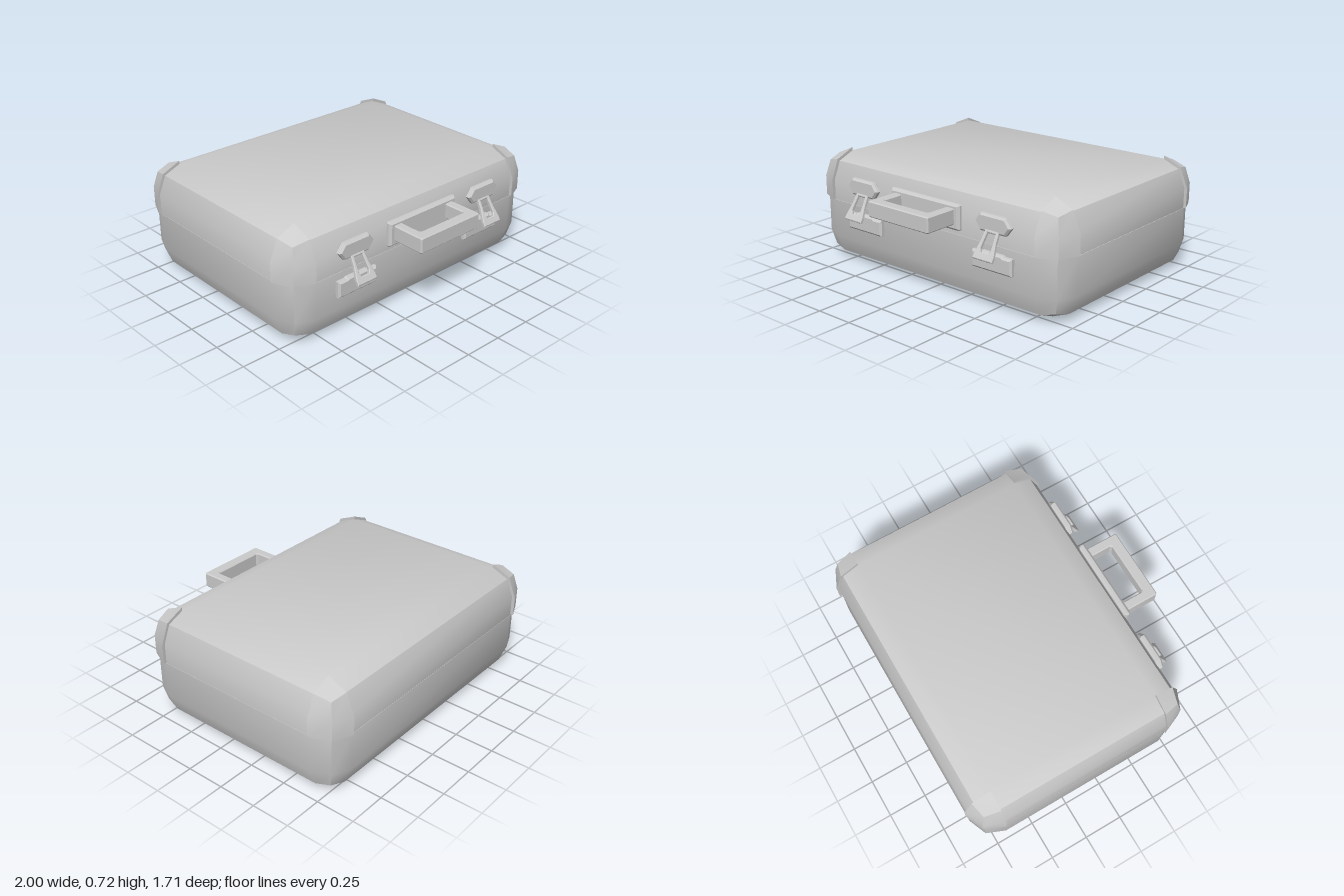
import * as THREE from 'three';
import { RoundedBoxGeometry } from 'three/addons/geometries/RoundedBoxGeometry.js';
import { toCreasedNormals } from 'three/addons/utils/BufferGeometryUtils.js';

const material = new THREE.MeshStandardMaterial({ color: 0xcccccc });
const CENTRE = new THREE.Vector3(0, 0.35, -0.118);
const HALF = new THREE.Vector3(0.98, 0.35, 0.724);
const RADIUS = 0.165;
const SEAM = 0.405;

function add(parent, name, geometry, x = 0, y = 0, z = 0) {
  const mesh = new THREE.Mesh(geometry, material);
  mesh.name = name;
  mesh.position.set(x, y, z);
  parent.add(mesh);
  return mesh;
}

// Piece of the chamfer-rounded case, grown outwards and cut by clamping its vertices
function shellPiece(grow, clamp) {
  const g = new RoundedBoxGeometry(
    2 * (HALF.x + grow), 2 * (HALF.y + grow), 2 * (HALF.z + grow), 1, RADIUS + grow);
  g.translate(CENTRE.x, CENTRE.y, CENTRE.z);
  const pos = g.attributes.position;
  const v = new THREE.Vector3();
  for (let i = 0; i < pos.count; i++) {
    clamp(v.fromBufferAttribute(pos, i));
    pos.setXYZ(i, v.x, v.y, v.z);
  }
  return toCreasedNormals(g, 0.6);
}

// Flat plate with bevelled rims; its outline is the full outer size
function plate(points, depth, bevel, hole) {
  const shape = new THREE.Shape(points.map(([x, y]) => new THREE.Vector2(x, y)));
  if (hole) shape.holes.push(new THREE.Path(hole.map(([x, y]) => new THREE.Vector2(x, y))));
  const g = new THREE.ExtrudeGeometry(shape, {
    depth: depth - 2 * bevel, bevelEnabled: true, bevelSize: bevel,
    bevelThickness: bevel, bevelOffset: -bevel, bevelSegments: 1,
  });
  return g.translate(0, 0, bevel);
}

// Rectangle with cut corners
function cutRect(x0, x1, y0, y1, c) {
  return [[x0 + c, y0], [x1 - c, y0], [x1, y0 + c], [x1, y1 - c],
    [x1 - c, y1], [x0 + c, y1], [x0, y1 - c], [x0, y0 + c]];
}

function createLatch(side) {
  const latch = new THREE.Group();
  latch.name = side > 0 ? 'leftLatch' : 'rightLatch';
  latch.position.x = side * 0.53;

  // Six-sided plate on the lid
  add(latch, 'latchUpperPlate', plate([
    [-0.132, 0], [-0.092, -0.053], [0.092, -0.053],
    [0.132, 0], [0.092, 0.053], [-0.092, 0.053],
  ], 0.043, 0.012), 0, 0.537, 0.595);

  // Catch plate on the base
  add(latch, 'latchLowerPlate', plate([
    [-0.147, -0.055], [0.147, -0.055], [0.147, 0.05], [0.085, 0.05],
    [0.075, 0.058], [-0.075, 0.058], [-0.085, 0.05], [-0.147, 0.05],
  ], 0.043, 0.012), -side * 0.009, 0.308, 0.595);

  // Flared loop hanging open between the plates
  const loop = add(latch, 'latchLoop', plate([
    [-0.05, 0], [-0.055, -0.07], [-0.072, -0.15], [-0.072, -0.18],
    [0.072, -0.18], [0.072, -0.15], [0.055, -0.07], [0.05, 0],
  ], 0.025, 0.005, [
    [-0.03, -0.02], [0.03, -0.02], [0.035, -0.08], [0.037, -0.115],
    [0.027, -0.135], [-0.027, -0.135], [-0.037, -0.115], [-0.035, -0.08],
  ]), 0, 0.494, 0.615);
  loop.rotation.x = -0.54;
  return latch;
}

export function createModel() {
  const model = new THREE.Group();
  model.name = 'suitcase';

  // Two halves meeting at a fine seam
  add(model, 'caseBase', shellPiece(0, (v) => { v.y = Math.min(v.y, SEAM - 0.001); }));
  add(model, 'caseLid', shellPiece(0, (v) => { v.y = Math.max(v.y, SEAM + 0.001); }));

  // Protectors over the four lid corners
  const coreX = HALF.x - RADIUS + 0.007;
  const coreZ = HALF.z - RADIUS + 0.003;
  for (const sx of [-1, 1]) {
    for (const sz of [-1, 1]) {
      const name = (sz > 0 ? 'front' : 'back') + (sx > 0 ? 'Left' : 'Right') + 'CornerCap';
      add(model, name, shellPiece(0.018, (v) => {
        v.x = sx * Math.max(sx * v.x, coreX);
        v.y = Math.max(v.y, SEAM + 0.004);
        v.z = CENTRE.z + sz * Math.max(sz * (v.z - CENTRE.z), coreZ);
      }));
    }
  }

  // Carrying handle: mounting plate and a squared loop standing straight out
  const handle = new THREE.Group();
  handle.name = 'handle';
  add(handle, 'handlePlate', plate(cutRect(-0.277, 0.277, -0.08, 0.08, 0.008), 0.045, 0.015),
    0, 0.517, 0.593);
  const grip = plate(cutRect(-0.243, 0.243, 0.6, 0.855, 0.008), 0.1, 0.007,
    cutRect(-0.183, 0.183, 0.625, 0.785, 0.012));
  grip.rotateX(Math.PI / 2);
  add(handle, 'handleLoop', grip, 0, 0.572, 0);
  model.add(handle);

  model.add(createLatch(1), createLatch(-1));
  return model;
}
